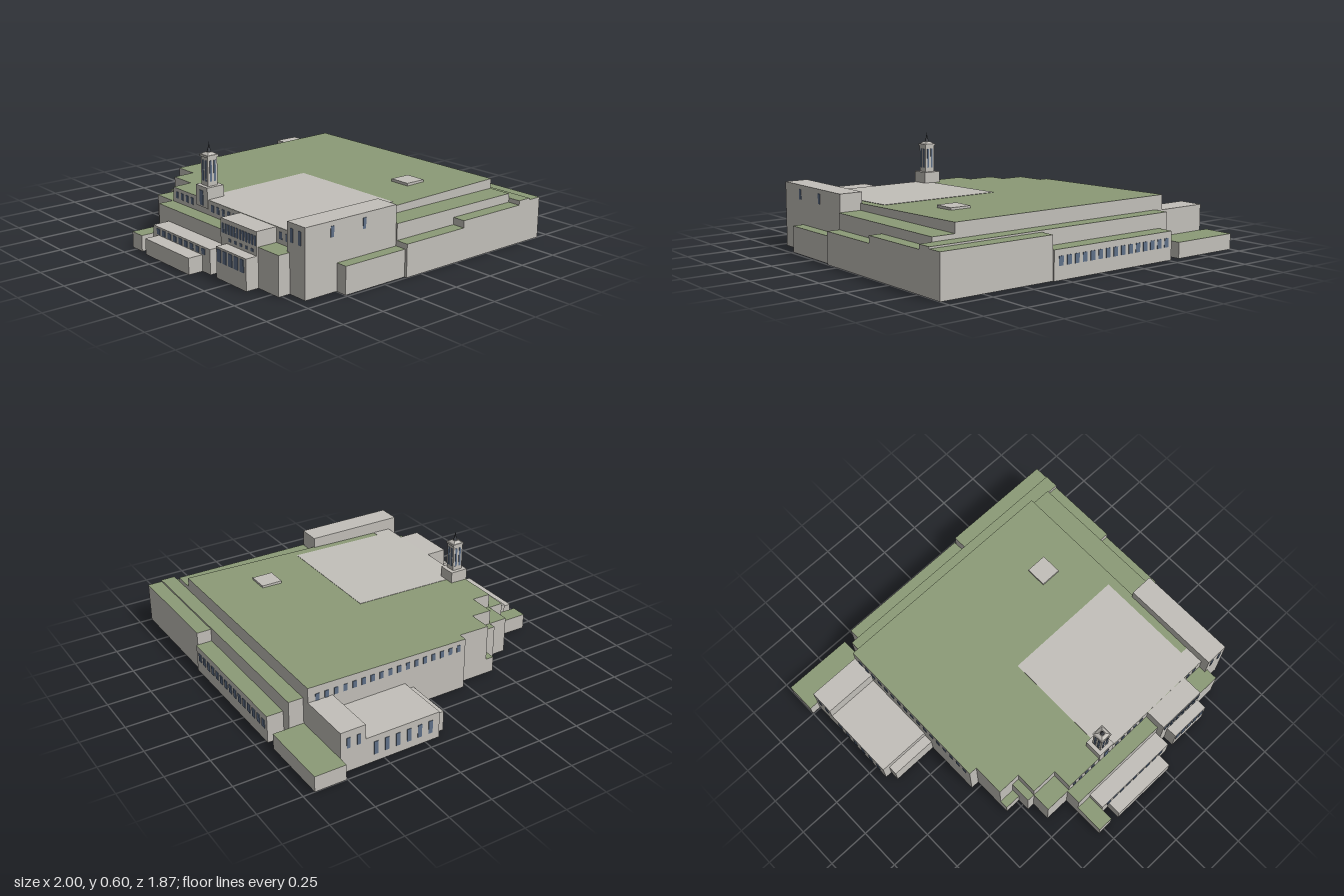
import * as THREE from 'three';

const mat = (name, color) => {
  const m = new THREE.MeshStandardMaterial({ color, side: THREE.DoubleSide });
  m.name = name;
  return m;
};

export function createModel() {
  const model = new THREE.Group();
  model.name = 'building';
  const stone = mat('stone', 0xc3c0ba);
  const grass = mat('green roof', 0x8c9b77);
  const glass = mat('window glass', 0x5f7088);
  const dark = mat('dark metal', 0x42454b);

  const add = (name, geo, material, parent = model) => {
    const m = new THREE.Mesh(geo, material);
    m.name = name;
    parent.add(m);
    return m;
  };

  // Hollow volume: four walls and a roof, open underneath
  const block = (name, x0, x1, z0, z1, top, roof = stone, y0 = 0) => {
    const g = new THREE.BoxGeometry(x1 - x0, top - y0, z1 - z0);
    const idx = Array.from(g.index.array);
    idx.splice(18, 6);
    g.setIndex(idx);
    g.clearGroups();
    g.addGroup(0, 12, 0);
    g.addGroup(12, 6, 1);
    g.addGroup(18, 12, 0);
    g.translate((x0 + x1) / 2, (top + y0) / 2, (z0 + z1) / 2);
    return add(name, g, [stone, roof]);
  };

  // Hollow volume over a ground outline of [x, z] points, with a sloping roof
  const slope = z => 0.297 + (0.655 - z) * 0.0205;
  const prism = (name, pts, roof, lift = 0) => {
    const pos = [];
    pts.forEach(([ax, az], i) => {
      const [bx, bz] = pts[(i + 1) % pts.length];
      const ah = slope(az) + lift, bh = slope(bz) + lift;
      pos.push(ax, 0, az, bx, 0, bz, bx, bh, bz, ax, 0, az, bx, bh, bz, ax, ah, az);
    });
    const walls = new THREE.BufferGeometry();
    walls.setAttribute('position', new THREE.Float32BufferAttribute(pos, 3));
    walls.computeVertexNormals();
    add(name + ' walls', walls, stone);
    const top = new THREE.ShapeGeometry(new THREE.Shape(pts.map(([x, z]) => new THREE.Vector2(x, -z))));
    top.rotateX(-Math.PI / 2);
    const p = top.attributes.position;
    for (let i = 0; i < p.count; i++) p.setY(i, slope(p.getZ(i)) + lift);
    top.computeVertexNormals();
    add(name + ' roof', top, roof);
  };

  // Row of thin window plates; axis is the direction the row runs along
  const windows = (name, axis, from, to, count, y0, y1, width, plane) => {
    const row = new THREE.Group();
    row.name = name;
    for (let i = 0; i < count; i++) {
      const c = count > 1 ? from + (to - from) * i / (count - 1) : from;
      const alongX = axis === 'x';
      const m = add('window', new THREE.BoxGeometry(alongX ? width : 0.004, y1 - y0, alongX ? 0.004 : width), glass, row);
      m.position.set(alongX ? c : plane, (y0 + y1) / 2, alongX ? plane : c);
    }
    model.add(row);
  };

  // Main hall with stepped corner
  prism('main hall', [[-0.63, 0.225], [-0.58, 0.225], [-0.58, 0.415], [-0.44, 0.415], [-0.44, 0.54],
    [-0.28, 0.54], [-0.28, 0.655], [0.79, 0.655], [0.79, -0.755], [-0.63, -0.755]], grass);
  prism('paved roof', [[0, 0.654], [0.785, 0.654], [0.785, 0.54], [0.735, 0.54], [0.735, -0.05], [0, -0.05]], stone, 0.002);
  block('roof hatch', 0.455, 0.58, -0.435, -0.31, 0.332, stone, 0.305);

  // Stepped terraces at the corner
  block('corner terrace low', -0.58, -0.485, 0.415, 0.465, 0.09, grass);
  block('corner terrace middle', -0.485, -0.44, 0.415, 0.54, 0.215, grass);
  block('corner terrace front', -0.44, -0.28, 0.54, 0.655, 0.215, grass);

  // Front volumes
  block('front terrace', -0.29, 0.34, 0.655, 0.745, 0.216, grass);
  block('front side box', -0.29, -0.197, 0.745, 0.92, 0.09, grass);
  block('front gallery', -0.197, 0.335, 0.745, 0.845, 0.137);
  block('front step', -0.145, 0.265, 0.845, 0.93, 0.09);
  block('entrance block', 0.34, 0.64, 0.655, 0.78, 0.297);
  block('entrance porch', 0.39, 0.64, 0.78, 0.845, 0.17);
  block('front planter', 0.64, 0.8, 0.655, 0.77, 0.215, grass);

  // Tall wing and side terraces
  block('tall wing', 0.78, 0.917, 0.1, 0.7, 0.37);
  block('side terrace upper', 0.79, 0.925, -0.755, 0.1, 0.27, grass);
  block('side terrace rear', 0.925, 1, -0.755, -0.315, 0.22, grass);
  block('side terrace middle', 0.925, 1, -0.315, 0.1, 0.18, grass);
  block('side terrace front', 0.92, 0.985, 0.1, 0.5, 0.15, grass);

  // Back volumes
  block('back terrace', -0.58, 1, -0.84, -0.755, 0.245, grass);
  block('back block', 0.315, 1, -0.925, -0.84, 0.235, grass);
  block('back gallery', -0.52, 0.315, -0.935, -0.84, 0.16, grass);
  block('back low box', -1, -0.58, -0.935, -0.755, 0.09, grass);

  // Annex on the right side
  block('annex rear', -0.945, -0.63, -0.755, -0.61, 0.24);
  block('annex hall', -0.945, -0.63, -0.61, -0.165, 0.155);
  block('annex step', -0.905, -0.63, -0.165, -0.11, 0.115);

  // Windows
  windows('upper windows right', 'x', -0.24, -0.095, 4, 0.24, 0.278, 0.022, 0.656);
  windows('upper windows left', 'x', 0.095, 0.29, 5, 0.24, 0.278, 0.022, 0.656);
  windows('upper windows end', 'x', 0.675, 0.725, 2, 0.24, 0.278, 0.022, 0.656);
  windows('gallery windows', 'x', -0.145, 0.275, 9, 0.095, 0.127, 0.028, 0.846);
  windows('entrance tall windows', 'x', 0.36, 0.63, 12, 0.222, 0.274, 0.015, 0.781);
  windows('entrance small windows', 'x', 0.42, 0.605, 5, 0.186, 0.202, 0.018, 0.781);
  windows('porch windows', 'x', 0.415, 0.605, 5, 0.092, 0.16, 0.032, 0.846);
  windows('wing front windows', 'x', 0.815, 0.875, 2, 0.27, 0.342, 0.018, 0.701);
  windows('wing side windows', 'z', 0.32, 0.53, 2, 0.288, 0.345, 0.02, 0.918);
  windows('back windows', 'x', -0.48, 0.27, 15, 0.075, 0.125, 0.03, -0.936);
  windows('hall side windows', 'z', -0.7, 0.18, 17, 0.24, 0.28, 0.024, -0.631);
  windows('annex windows', 'z', -0.55, -0.22, 6, 0.045, 0.12, 0.025, -0.946);
  windows('annex rear windows', 'z', -0.71, -0.65, 2, 0.14, 0.2, 0.02, -0.946);

  // Bell tower
  const tx = 0.002, tz = 0.607;
  block('tower base', tx - 0.053, tx + 0.053, tz - 0.055, tz + 0.053, 0.365, stone, 0.25);
  windows('tower base window', 'x', tx, tx, 1, 0.26, 0.342, 0.03, tz + 0.054);
  block('tower shaft', tx - 0.031, tx + 0.031, tz - 0.031, tz + 0.031, 0.525, stone, 0.365);
  add('tower cornice', new THREE.BoxGeometry(0.072, 0.012, 0.072), stone).position.set(tx, 0.528, tz);
  for (const s of [-1, 1]) {
    windows('tower windows', 'x', tx - 0.013, tx + 0.013, 2, 0.39, 0.505, 0.012, tz + s * 0.032);
    windows('tower windows', 'z', tz - 0.013, tz + 0.013, 2, 0.39, 0.505, 0.012, tx + s * 0.032);
  }
  const cap = new THREE.CylinderGeometry(0.02, 0.044, 0.012, 4).rotateY(Math.PI / 4).toNonIndexed();
  cap.computeVertexNormals();
  add('tower cap', cap, stone).position.set(tx, 0.54, tz);
  add('spire', new THREE.CylinderGeometry(0.005, 0.013, 0.026, 8), dark).position.set(tx, 0.558, tz);
  add('spire needle', new THREE.ConeGeometry(0.005, 0.034, 8), dark).position.set(tx, 0.587, tz);

  return model;
}
